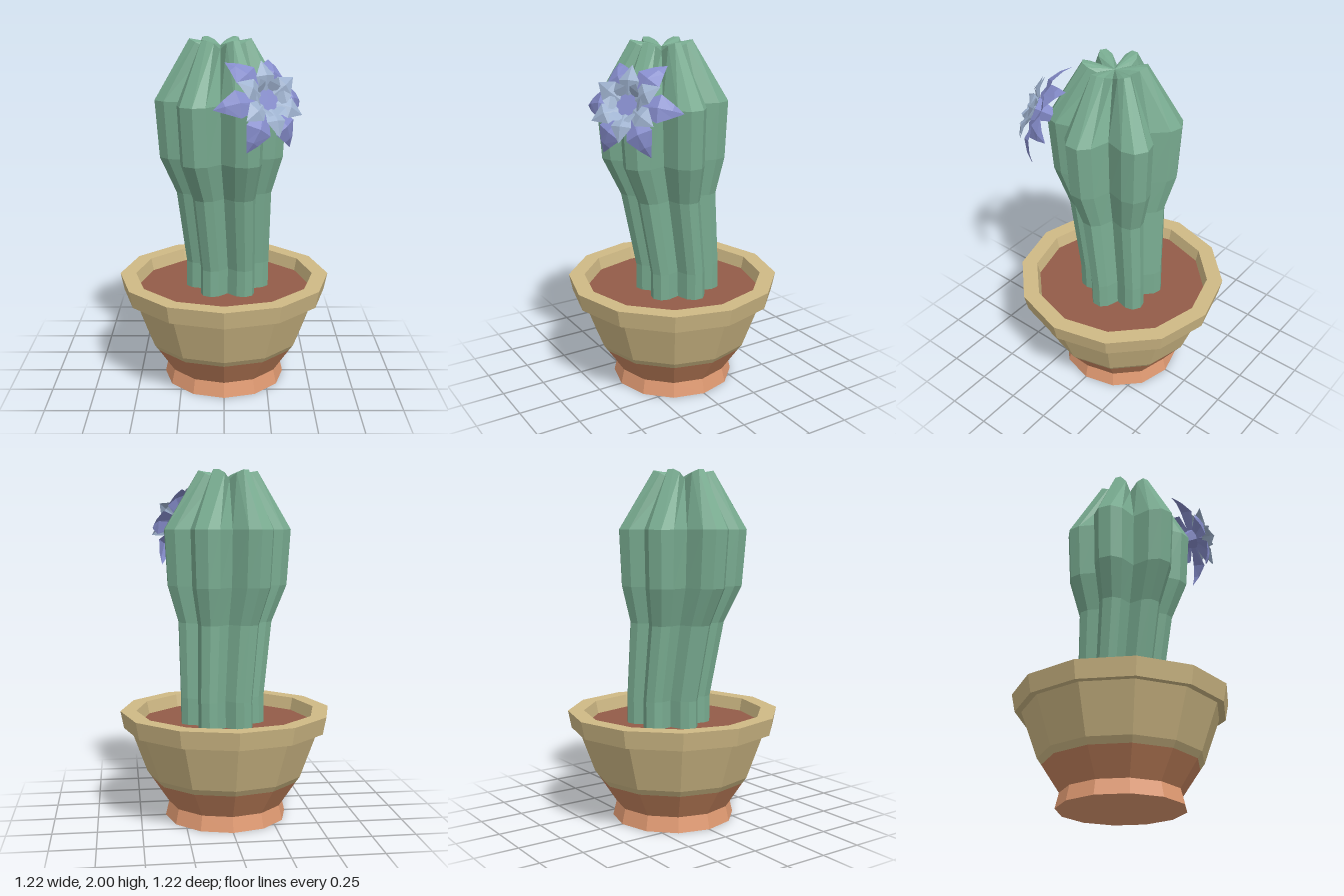
import * as THREE from 'three';

const mat = (name, color, side = THREE.FrontSide) => {
  const m = new THREE.MeshStandardMaterial({ color, flatShading: true, side });
  m.name = name;
  return m;
};

function addMesh(parent, name, geometry, material) {
  const g = geometry.index ? geometry.toNonIndexed() : geometry;
  g.computeVertexNormals();
  const mesh = new THREE.Mesh(g, material);
  mesh.name = name;
  parent.add(mesh);
  return mesh;
}

// Twelve-sided turned part from [radius, y] pairs
const turned = (pts) => new THREE.LatheGeometry(pts.map(([r, y]) => new THREE.Vector2(r, y)), 12);

// Ribbed body: rings of six lobes, each lobe a valley, two shoulders and a blunt tip
function cactusGeometry() {
  // [y, centre x, centre z, radius, valley ratio, valley drop]
  const rings = [
    [0.54, 0.02, -0.02, 0.24, 0.66, 0],
    [0.71, 0.022, -0.018, 0.24, 0.66, 0],
    [1.14, 0, 0.028, 0.27, 0.66, 0],
    [1.35, -0.015, 0.05, 0.345, 0.65, 0],
    [1.67, -0.018, 0.055, 0.365, 0.64, 0],
    [2.0, -0.02, 0.057, 0.17, 0.45, 0.05],
    [1.99, -0.02, 0.057, 0.11, 0.45, 0.035],
  ];
  const lobe = [[-30, 0], [-16, 0.68], [-6, 1], [6, 1], [16, 0.68]]; // [degrees, bulge]
  const n = lobe.length * 6;
  const pos = [], idx = [];
  for (const [y, cx, cz, R, valley, drop] of rings) {
    for (let k = 0; k < 6; k++) {
      for (const [deg, bulge] of lobe) {
        const a = THREE.MathUtils.degToRad(k * 60 + deg);
        const r = R * (valley + (1 - valley) * bulge);
        pos.push(cx + r * Math.cos(a), y - drop * (1 - bulge), cz - r * Math.sin(a));
      }
    }
  }
  for (let j = 0; j < rings.length - 1; j++) {
    for (let i = 0; i < n; i++) {
      const a = j * n + i, b = j * n + (i + 1) % n;
      idx.push(a, b, b + n, a, b + n, a + n);
    }
  }
  // Sunken crown point
  const top = (rings.length - 1) * n;
  pos.push(-0.02, 1.965, 0.057);
  for (let i = 0; i < n; i++) idx.push(top + i, top + (i + 1) % n, top + n);
  const g = new THREE.BufferGeometry();
  g.setAttribute('position', new THREE.Float32BufferAttribute(pos, 3));
  g.setIndex(idx);
  return g;
}

// Ridged pointed petal along +y from sections [distance, half width, height, ridge]
function petalGeometry(sections) {
  const pos = [], idx = [];
  for (const [d, w, z, ridge] of sections) pos.push(-w, d, z, 0, d, z + ridge, w, d, z);
  for (let j = 0; j < sections.length - 1; j++) {
    for (let i = 0; i < 2; i++) {
      const a = j * 3 + i;
      idx.push(a, a + 1, a + 4, a, a + 4, a + 3);
    }
  }
  const g = new THREE.BufferGeometry();
  g.setAttribute('position', new THREE.Float32BufferAttribute(pos, 3));
  g.setIndex(idx);
  return g;
}

export function createModel() {
  const model = new THREE.Group();
  model.name = 'pottedCactus';
  const sand = mat('sand glaze', 0xcfb985);
  const clay = mat('clay', 0xc9865f);
  const foot = mat('light clay', 0xe09a72);
  const soilMat = mat('soil', 0x935c48);
  const green = mat('cactus green', 0x78ab90);
  const lavender = mat('lavender petal', 0x868dcc, THREE.DoubleSide);
  const pale = mat('pale blue petal', 0x9fb3d0, THREE.DoubleSide);

  // Pot
  const pot = new THREE.Group();
  pot.name = 'pot';
  model.add(pot);
  addMesh(pot, 'potFoot', turned([[0, 0], [0.355, 0], [0.335, 0.085]]), foot);
  addMesh(pot, 'potLowerBody', turned([[0.335, 0.085], [0.435, 0.235]]), clay);
  addMesh(pot, 'potUpperBody', turned([[0.435, 0.235], [0.46, 0.27], [0.555, 0.53]]), sand);
  addMesh(pot, 'potRim', turned([[0.555, 0.53], [0.592, 0.53], [0.612, 0.63], [0.52, 0.63], [0.503, 0.55]]), sand);
  addMesh(pot, 'soil', turned([[0.506, 0.556], [0, 0.556]]), soilMat);

  // Cactus
  addMesh(model, 'cactusBody', cactusGeometry(), green);

  // Flower: built facing +z, then turned outward on the front rib
  const flower = new THREE.Group();
  flower.name = 'flower';
  const whorls = [
    ['outerPetal', lavender, 30, [[0.04, 0.03, -0.02, 0.005], [0.17, 0.075, -0.015, 0.02], [0.235, 0.035, -0.05, 0.012], [0.28, 0, -0.09, 0]]],
    ['middlePetal', pale, 0, [[0.04, 0.03, 0.005, 0.005], [0.12, 0.058, 0.035, 0.015], [0.205, 0, 0.03, 0]]],
    ['innerPetal', pale, 30, [[0.055, 0.03, 0.012, 0], [0.085, 0.033, 0.045, 0], [0.115, 0, 0.065, 0]]],
  ];
  for (const [name, material, start, sections] of whorls) {
    for (let k = 0; k < 6; k++) {
      const petal = addMesh(flower, name, petalGeometry(sections), material);
      petal.rotation.z = THREE.MathUtils.degToRad(start + k * 60);
    }
  }
  const heart = addMesh(flower, 'flowerHeart', new THREE.CylinderGeometry(0.075, 0.04, 0.1, 6), lavender);
  heart.rotation.x = Math.PI / 2;
  heart.position.z = -0.036;
  flower.position.set(0.22, 1.715, 0.4);
  flower.lookAt(0.22 + 0.511, 1.715 + 0.407, 0.4 + 0.757);
  model.add(flower);

  return model;
}
